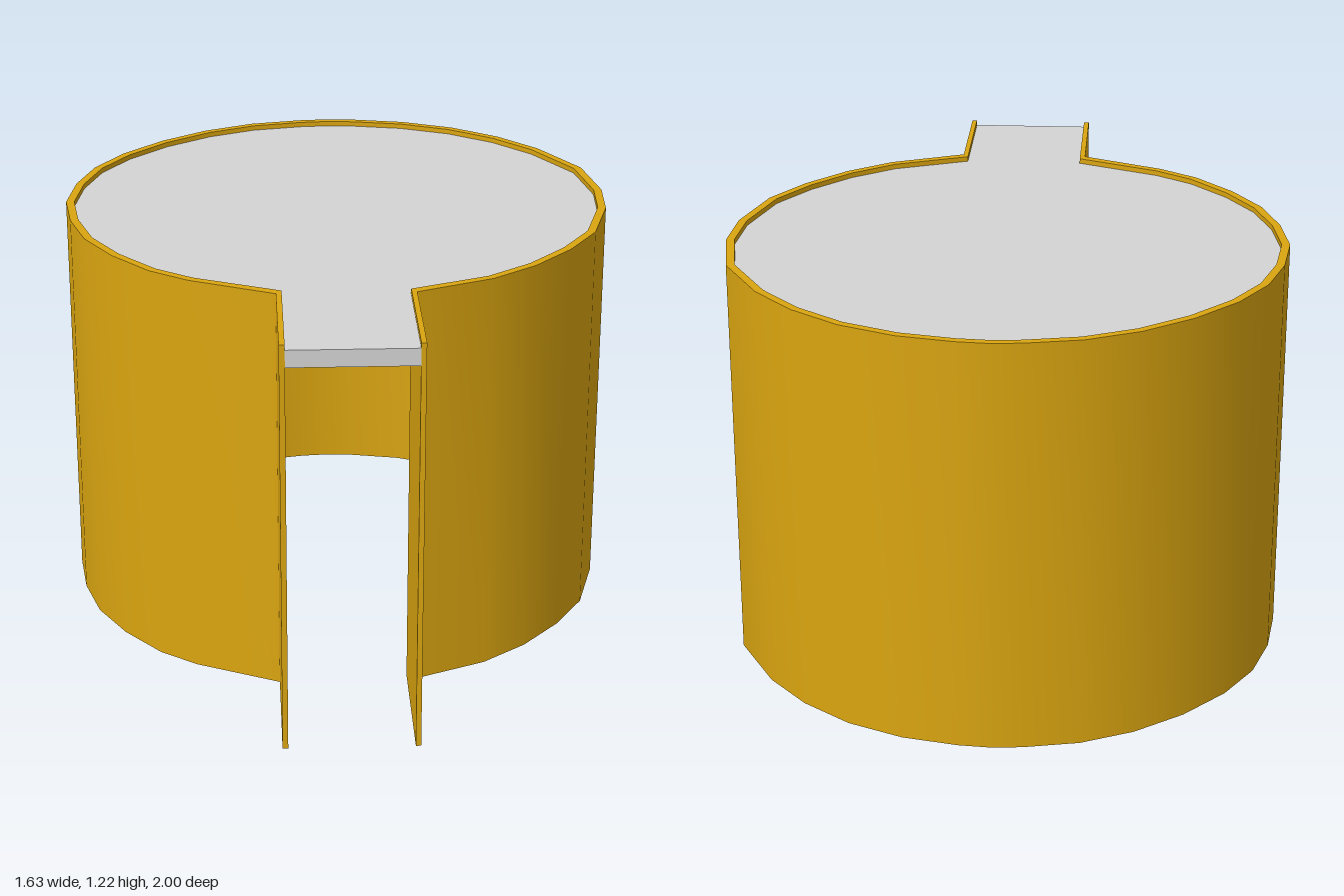
import * as THREE from 'three';
import { toCreasedNormals } from 'three/addons/utils/BufferGeometryUtils.js';

const HEIGHT = 1.215;
const CENTRE_Z = -0.185;

// Round part of the outline as [x, z], from the right slot corner around the back to the left one
const RING = [
  [0.19, 0.625], [0.41, 0.53], [0.54, 0.43], [0.655, 0.3], [0.745, 0.155], [0.805, -0.06],
  [0.815, -0.23], [0.78, -0.45], [0.665, -0.655], [0.55, -0.785], [0.41, -0.89], [0.25, -0.96],
  [0.09, -0.993], [0, -1], [-0.09, -0.993], [-0.25, -0.96], [-0.4, -0.89], [-0.54, -0.785],
  [-0.66, -0.655], [-0.745, -0.515], [-0.795, -0.355], [-0.817, -0.18], [-0.795, -0.01],
  [-0.745, 0.155], [-0.66, 0.3], [-0.55, 0.43], [-0.44, 0.51], [-0.198, 0.625],
];

// Keyhole outline: round part plus the two straight sides of the neck
function keyhole(scale, rightX, leftX) {
  const points = RING.map(([x, z]) =>
    new THREE.Vector2(x * scale, CENTRE_Z + (z - CENTRE_Z) * scale));
  points[0].x = rightX;
  points[points.length - 1].x = leftX;
  return [new THREE.Vector2(rightX, 1), ...points, new THREE.Vector2(leftX, 1)];
}

// Upright prism from a floor-plan outline
function prism(name, outline, bottom, top, material) {
  const geometry = new THREE.ExtrudeGeometry(new THREE.Shape(outline), {
    depth: top - bottom, bevelEnabled: false,
  });
  geometry.rotateX(Math.PI / 2);
  geometry.translate(0, top, 0);
  const mesh = new THREE.Mesh(toCreasedNormals(geometry, Math.PI / 6), material);
  mesh.name = name;
  return mesh;
}

export function createModel() {
  const gold = new THREE.MeshStandardMaterial({ color: 0xdaa510 });
  gold.name = 'gold';
  const grey = new THREE.MeshStandardMaterial({ color: 0xd4d4d4 });
  grey.name = 'light grey';

  const outer = keyhole(1, 0.19, -0.198);
  const inner = keyhole(0.97, 0.175, -0.182);

  const group = new THREE.Group();
  group.name = 'keyholeShell';
  // Thin wall, open at the front of the neck and at the bottom
  group.add(prism('wall', [...outer, ...[...inner].reverse()], 0, HEIGHT, gold));
  // Lid set slightly below the rim
  group.add(prism('lid', inner, 1.15, 1.2, grey));
  return group;
}
